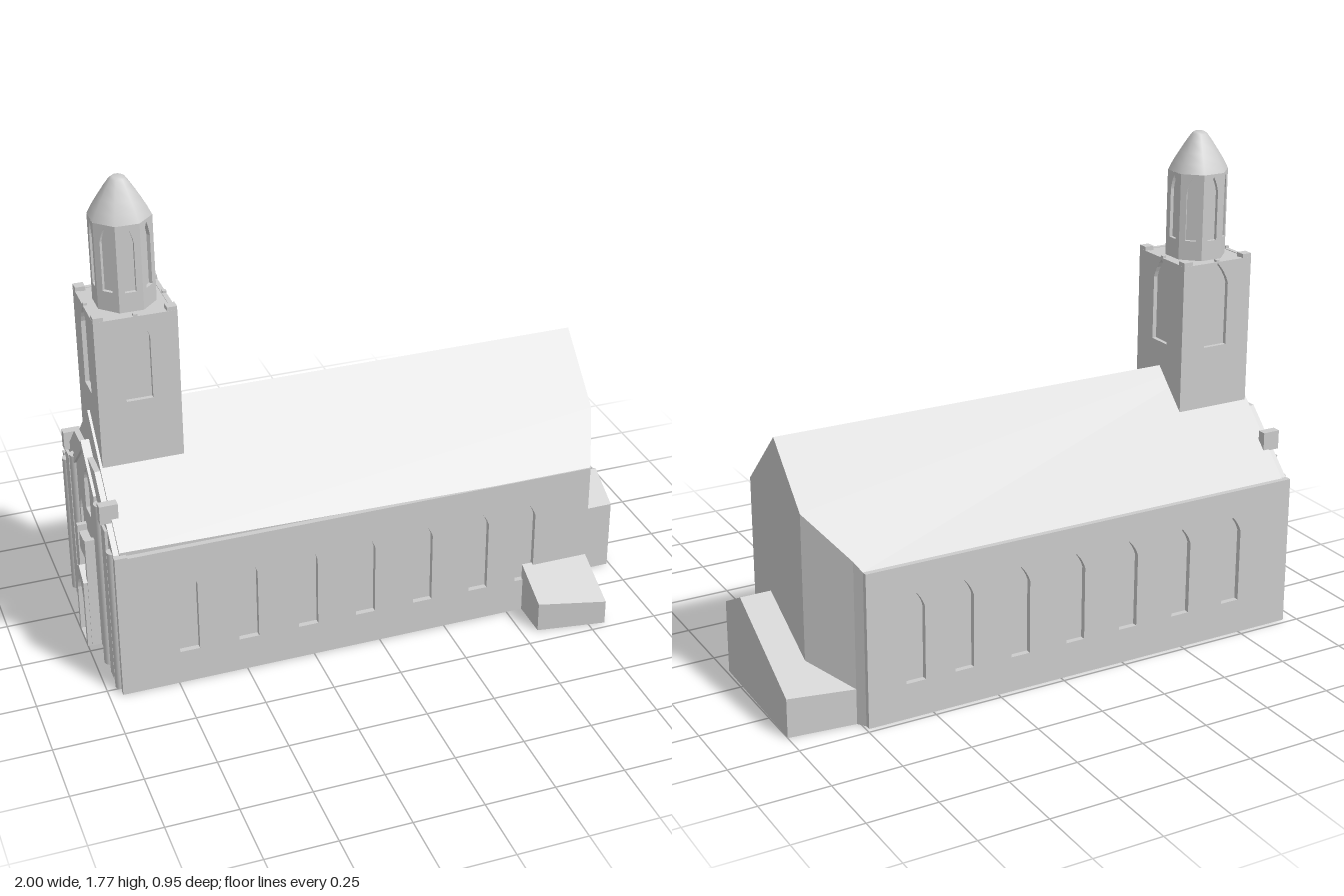
import * as THREE from 'three';

const stone = new THREE.MeshStandardMaterial({ color: 0xcccccc, side: THREE.DoubleSide });
stone.name = 'pale stone';

function add(parent, name, geometry, x = 0, y = 0, z = 0) {
  const mesh = new THREE.Mesh(geometry, stone);
  mesh.name = name;
  mesh.position.set(x, y, z);
  parent.add(mesh);
  return mesh;
}

function group(parent, name, x = 0, y = 0, z = 0) {
  const g = new THREE.Group();
  g.name = name;
  g.position.set(x, y, z);
  parent.add(g);
  return g;
}

// Solid over a convex [x, z] plan whose top follows a height rule
function solidOnPlan(plan, height) {
  const pos = [];
  const low = ([x, z]) => [x, 0, z];
  const high = ([x, z]) => [x, height(z), z];
  const tri = (a, b, c) => pos.push(...a, ...b, ...c);
  plan.forEach((p, i) => {
    const q = plan[(i + 1) % plan.length];
    tri(low(p), low(q), high(q));
    tri(low(p), high(q), high(p));
    if (i > 0 && i < plan.length - 1) {
      tri(high(plan[0]), high(p), high(q));
      tri(low(plan[0]), low(q), low(p));
    }
  });
  const g = new THREE.BufferGeometry();
  g.setAttribute('position', new THREE.Float32BufferAttribute(pos, 3));
  g.computeVertexNormals();
  return g;
}

// Pointed window outline
function lancet(cx, y0, spring, top, w) {
  const h = w / 2, mid = spring + (top - spring) * 0.55;
  const p = new THREE.Path();
  p.moveTo(cx - h, y0);
  p.lineTo(cx + h, y0);
  p.lineTo(cx + h, spring);
  p.quadraticCurveTo(cx + h * 0.72, mid, cx, top);
  p.quadraticCurveTo(cx - h * 0.72, mid, cx - h, spring);
  p.closePath();
  return p;
}

// Wall slab with openings, growing along +z
function slab(points, holes, depth) {
  const s = new THREE.Shape(points.map(([x, y]) => new THREE.Vector2(x, y)));
  s.holes.push(...holes);
  return new THREE.ExtrudeGeometry(s, { depth, bevelEnabled: false, curveSegments: 4 });
}
const rect = (x0, x1, y0, y1) => [[x0, y0], [x1, y0], [x1, y1], [x0, y1]];

export function createModel() {
  const model = new THREE.Group();
  model.name = 'church';

  // Nave body: two halves meeting at the ridge
  const nave = group(model, 'nave');
  const roofHeight = z => 0.93 - Math.abs(z + 0.09);
  add(nave, 'naveSouthHalf', solidOnPlan(
    [[-0.93, 0.27], [0.81, 0.27], [0.81, 0.289], [0.88, 0.13], [0.88, -0.09], [-0.93, -0.09]], roofHeight));
  add(nave, 'naveNorthHalf', solidOnPlan(
    [[-0.93, -0.09], [0.88, -0.09], [0.88, -0.29], [0.76, -0.43], [0.74, -0.46], [-0.93, -0.46]], roofHeight));

  // Long walls with recessed pointed windows
  const windowX = [-0.706, -0.49, -0.27, -0.055, 0.163, 0.38, 0.563];
  const openings = () => windowX.map(x => lancet(x, 0.13, 0.4, 0.46, 0.072));
  add(nave, 'southWall', slab(rect(-0.93, 0.81, 0, 0.555), openings(), 0.02), 0, 0, 0.27);
  add(nave, 'northWall', slab(rect(-0.93, 0.74, 0, 0.56), openings(), 0.02), 0, 0, -0.48);
  // backing of the north recesses is the nave body itself

  // Lean-to beside the south wall
  add(model, 'southPorch', solidOnPlan(
    [[0.56, 0.435], [0.81, 0.475], [0.81, 0.28], [0.56, 0.28]], z => 0.185 - 0.5 * (z - 0.29)));

  // Gabled annex at the east end
  const annexHeight = z => 0.345 - 0.52 * Math.abs(z + 0.015);
  const annex = group(model, 'eastAnnex');
  add(annex, 'annexSouthHalf', solidOnPlan(
    [[0.8, 0.13], [0.99, 0.13], [0.993, -0.015], [0.8, -0.015]], annexHeight));
  add(annex, 'annexNorthHalf', solidOnPlan(
    [[0.76, -0.015], [0.993, -0.015], [1, -0.405], [0.76, -0.43]], annexHeight));

  // Square tower
  const tower = group(model, 'tower', -0.778, 0, -0.085);
  const half = 0.143;
  add(tower, 'towerCore', new THREE.BoxGeometry(0.255, 1.33, 0.255), 0, 0.665, 0);
  for (let i = 0; i < 4; i++) {
    const side = group(tower, 'towerSide');
    side.rotation.y = i * Math.PI / 2;
    add(side, 'towerWall', slab(rect(-half, half, 0.3, 1.332),
      [lancet(0, 1.02, 1.25, 1.327, 0.092)], 0.016), 0, 0, half - 0.016);
    add(side, 'cornerBlock', new THREE.BoxGeometry(0.035, 0.03, 0.035), 0.125, 1.331, 0.125);
    add(side, 'windowTip', new THREE.BoxGeometry(0.014, 0.014, 0.014), 0, 1.333, half - 0.007);
  }

  // Eight-sided lantern with a pointed dome
  const lantern = group(tower, 'lantern');
  const eighth = Math.PI / 8, apothem = 0.1;
  const core = add(lantern, 'lanternCore',
    new THREE.CylinderGeometry(0.094, 0.094, 0.3, 8).toNonIndexed(), 0, 1.48, 0);
  core.geometry.computeVertexNormals();
  core.rotation.y = eighth;
  const faceHalf = apothem * Math.tan(eighth);
  for (let i = 0; i < 8; i++) {
    const side = group(lantern, 'lanternSide');
    side.rotation.y = i * Math.PI / 4;
    add(side, 'lanternWall', slab(rect(-faceHalf, faceHalf, 1.33, 1.64),
      [lancet(0, 1.4, 1.575, 1.63, 0.038)], 0.013), 0, 0, apothem - 0.013);
  }
  const domeProfile = [[0.108, 1.64], [0.092, 1.672], [0.07, 1.707], [0.045, 1.745], [0.028, 1.768], [0.018, 1.775], [0, 1.775]];
  const dome = add(lantern, 'dome',
    new THREE.LatheGeometry(domeProfile.map(([r, y]) => new THREE.Vector2(r, y)), 8));
  dome.rotation.y = eighth;

  // West front: local x runs across it, local z points outward
  const front = group(model, 'westFront', -0.93, 0, -0.095);
  front.rotation.y = -Math.PI / 2;
  add(front, 'gableWall', slab(
    [[-0.385, 0], [0.385, 0], [0.385, 0.56], [0.36, 0.56], [0.15, 0.77], [-0.15, 0.77], [-0.36, 0.56], [-0.385, 0.56]],
    [lancet(0, 0.52, 0.64, 0.7, 0.075), lancet(-0.115, 0.2, 0.46, 0.52, 0.045), lancet(0.115, 0.2, 0.46, 0.52, 0.045)],
    0.02));
  for (const s of [-1, 1]) {
    add(front, 'parapetEnd', new THREE.BoxGeometry(0.02, 0.56, 0.045), s * 0.375, 0.28, 0);
    // coping of the central gable
    add(front, 'gableCoping', slab(
      [[0, 0.78], [s * 0.15, 0.64], [s * 0.15, 0.675], [0, 0.815]], [], 0.03));
    // half-round shafts and square buttresses
    add(front, 'innerShaft', new THREE.CylinderGeometry(0.024, 0.024, 0.66, 12), s * 0.178, 0.33, 0.015);
    add(front, 'outerShaft', new THREE.CylinderGeometry(0.022, 0.022, 0.56, 12), s * 0.33, 0.28, 0.015);
    add(front, 'buttress', new THREE.BoxGeometry(0.055, 0.62, 0.03), s * 0.265, 0.31, 0.015);
    add(front, 'pinnacleBlock', new THREE.BoxGeometry(0.032, 0.07, 0.065), s * 0.265, 0.675, 0.008);
    add(front, 'porchPier', new THREE.BoxGeometry(0.018, 0.445, 0.04), s * 0.056, 0.2225, 0.035);
  }
  // Central doorway
  add(front, 'doorUpperBlock', new THREE.BoxGeometry(0.1, 0.07, 0.035), 0, 0.385, 0.0325);
  add(front, 'doorSurround', slab(
    [[-0.062, 0], [0.062, 0], [0.062, 0.27], [0, 0.31], [-0.062, 0.27]],
    [lancet(0, 0.01, 0.19, 0.27, 0.085)], 0.05), 0, 0, 0.02);

  return model;
}
